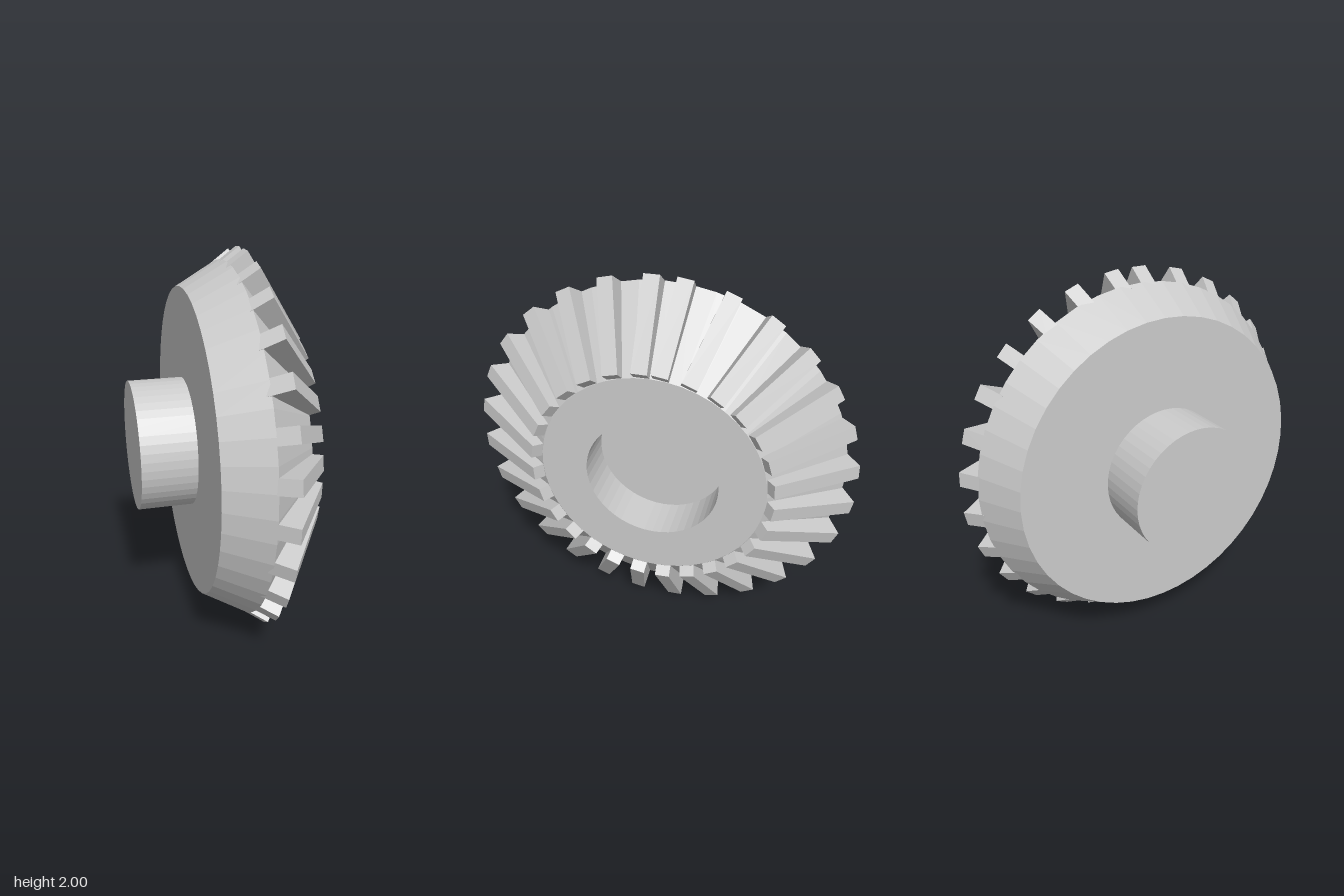
import * as THREE from 'three';

const TEETH = 28;
const STEP = THREE.MathUtils.degToRad(13); // slightly uneven: one tighter gap closes the ring
const SIDES = 48;

// Revolve a [radius, position] profile around the gear's x axis
function revolve(name, profile, material) {
  const geometry = new THREE.LatheGeometry(profile.map(([r, a]) => new THREE.Vector2(r, a)), SIDES);
  geometry.rotateZ(-Math.PI / 2);
  const mesh = new THREE.Mesh(geometry, material);
  mesh.name = name;
  return mesh;
}

export function createModel() {
  const model = new THREE.Group();
  model.name = 'bevelGear';
  const material = new THREE.MeshStandardMaterial({ color: 0xcccccc, flatShading: true });

  const gear = new THREE.Group();
  gear.name = 'gear';
  gear.position.y = 1;
  model.add(gear);

  // Solid hub at the back
  gear.add(revolve('hub', [[0, -0.415], [0.342, -0.415], [0.342, -0.13]], material));

  // Double-cone blank with its flat front face
  gear.add(revolve('blank', [
    [0.342, -0.13], [0.815, -0.13], [0.94, 0.09], [0.58, 0.375], [0.342, 0.375],
  ], material));

  // Blind bore in the front face
  gear.add(revolve('bore', [[0.342, 0.375], [0.342, 0.145], [0, 0.145]], material));

  // Tapered straight teeth, sunk slightly into the front cone
  const side = new THREE.Shape([
    [0.07, 0.924], [0.36, 0.568], [0.415, 0.62], [0.175, 1.0],
  ].map(([x, y]) => new THREE.Vector2(x, y)));
  const toothGeometry = new THREE.ExtrudeGeometry(side, { depth: 0.078, bevelEnabled: false });
  const teeth = new THREE.Group();
  teeth.name = 'teeth';
  for (let i = 0; i < TEETH; i++) {
    const tooth = new THREE.Mesh(toothGeometry, material);
    tooth.name = 'tooth';
    tooth.rotation.x = i * STEP;
    teeth.add(tooth);
  }
  gear.add(teeth);

  return model;
}
